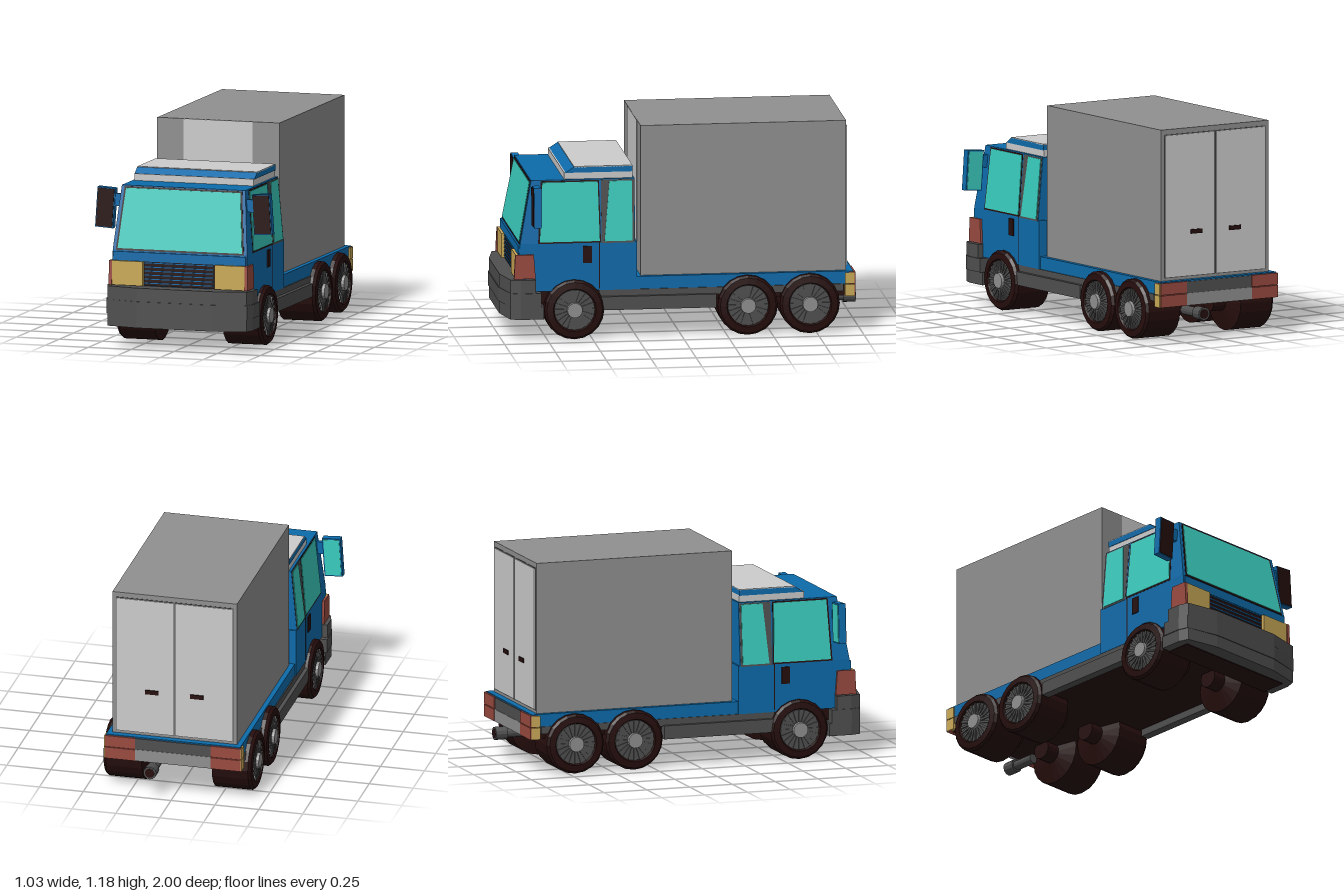
import * as THREE from 'three';

const mat = (name, color) => {
  const m = new THREE.MeshStandardMaterial({ color });
  m.name = name;
  return m;
};

export function createModel() {
  const blue = mat('blue paint', 0x0d6bab);
  const glass = mat('teal glass', 0x3accbe);
  const black = mat('tyre black', 0x260e0d);
  const darkGrey = mat('dark grey', 0x4f4f4f);
  const midGrey = mat('mid grey', 0x909090);
  const lightGrey = mat('light grey', 0xcccccc);
  const amber = mat('amber lamp', 0xcbaa58);
  const red = mat('red lamp', 0x9a4a40);

  const truck = new THREE.Group();
  truck.name = 'boxTruck';

  const add = (name, geo, material, parent = truck) => {
    const mesh = new THREE.Mesh(geo, material);
    mesh.name = name;
    parent.add(mesh);
    return mesh;
  };
  // box given by its extents
  const box = (name, material, x0, x1, y0, y1, z0, z1, parent) => {
    const geo = new THREE.BoxGeometry(Math.abs(x1 - x0), y1 - y0, z1 - z0);
    geo.translate((x0 + x1) / 2, (y0 + y1) / 2, (z0 + z1) / 2);
    return add(name, geo, material, parent);
  };
  // side profile [z, y] stretched between x = lo(y) and x = hi(y)
  const prism = (name, material, points, lo, hi) => {
    const shape = new THREE.Shape(points.map(([z, y]) => new THREE.Vector2(z, y)));
    const geo = new THREE.ExtrudeGeometry(shape, { depth: 1, bevelEnabled: false });
    const p = geo.attributes.position;
    for (let i = 0; i < p.count; i++) {
      const z = p.getX(i), y = p.getY(i), t = p.getZ(i);
      p.setXYZ(i, hi(y) + (lo(y) - hi(y)) * t, y, z);
    }
    geo.computeVertexNormals();
    return add(name, geo, material);
  };
  const flat = (geo) => {
    const g = geo.toNonIndexed();
    g.computeVertexNormals();
    return g;
  };

  // cab half width and windscreen slope by height
  const cabW = (y) => (y <= 0.54 ? 0.39 : 0.39 - (y - 0.54) * 0.09);
  const frontZ = (y) => 0.9 - (y - 0.54) * 0.186;
  const symmetric = (name, material, points, w) => prism(name, material, points, (y) => -w(y), w);
  // thin plate lying on the cab side
  const sidePlate = (name, material, points, s, t) =>
    s > 0
      ? prism(name, material, points, (y) => cabW(y) - 0.004, (y) => cabW(y) + t)
      : prism(name, material, points, (y) => -cabW(y) - t, (y) => -cabW(y) + 0.004);

  // cab
  symmetric('cabLower', blue, [[0.25, 0.27], [0.82, 0.27], [0.9, 0.34], [0.905, 0.48], [0.9, 0.54], [0.25, 0.54]], cabW);
  symmetric('cabUpper', blue, [[0.26, 0.54], [0.9, 0.54], [0.835, 0.89], [0.26, 0.89]], cabW);
  const screen = (name, material, y0, y1, w, t) =>
    symmetric(name, material,
      [[frontZ(y0) - 0.004, y0], [frontZ(y0) + t, y0], [frontZ(y1) + t, y1], [frontZ(y1) - 0.004, y1]],
      (y) => w - (y - 0.54) * 0.09);
  screen('windscreenSeal', black, 0.537, 0.885, 0.372, 0.002);
  screen('windscreen', glass, 0.547, 0.876, 0.362, 0.005);
  box('cowl', blue, -0.385, 0.385, 0.48, 0.53, 0.88, 0.911);

  for (const s of [1, -1]) {
    sidePlate('doorWindowSeal', black, [[0.8, 0.538], [0.782, 0.885], [0.458, 0.885], [0.45, 0.538]], s, 0.001);
    sidePlate('doorWindow', glass, [[0.79, 0.547], [0.773, 0.877], [0.465, 0.877], [0.457, 0.547]], s, 0.004);
    sidePlate('pillarPanel', darkGrey, [[0.447, 0.535], [0.447, 0.885], [0.264, 0.885], [0.264, 0.535]], s, 0.002);
    sidePlate('rearSideWindow', glass, [[0.43, 0.545], [0.4, 0.878], [0.275, 0.878], [0.275, 0.545]], s, 0.005);
    sidePlate('doorSeam', black, [[0.462, 0.28], [0.462, 0.54], [0.457, 0.54], [0.457, 0.28]], s, 0.001);
    sidePlate('doorHandle', black, [[0.55, 0.425], [0.55, 0.52], [0.502, 0.52], [0.502, 0.425]], s, 0.006);
  }

  // roof fairing
  box('fairingBase', lightGrey, -0.345, 0.345, 0.885, 0.928, 0.27, 0.65);
  symmetric('fairingBand', blue, [[0.27, 0.926], [0.645, 0.926], [0.597, 0.957], [0.27, 0.957]], () => 0.348);
  box('fairingTop', lightGrey, -0.348, 0.348, 0.955, 0.961, 0.27, 0.595);

  // grille
  box('grille', black, -0.207, 0.207, 0.345, 0.48, 0.89, 0.909);
  for (let i = 0; i < 6; i++) {
    const y = 0.358 + i * 0.0225;
    box('grilleSlat', blue, -0.2, 0.2, y, y + 0.005, 0.905, 0.914);
  }

  // front lamps and rear lamps on both sides
  for (const s of [1, -1]) {
    box('headlight', amber, s * 0.208, s * 0.396, 0.345, 0.48, 0.88, 0.926);
    const lamp = [[0.815, 0.345], [0.935, 0.345], [0.928, 0.48], [0.825, 0.48]];
    prism('frontSideLamp', red, lamp, () => (s > 0 ? 0.385 : -0.403), () => (s > 0 ? 0.403 : -0.385));
    box('tailLampUpper', red, s * 0.215, s * 0.386, 0.27, 0.335, -0.966, -0.93);
    box('tailLampLower', red, s * 0.215, s * 0.386, 0.2, 0.266, -0.966, -0.93);
    box('rearSideLampUpper', amber, s * 0.37, s * 0.391, 0.27, 0.332, -0.96, -0.908);
    box('rearSideLampLower', amber, s * 0.37, s * 0.391, 0.2, 0.266, -0.96, -0.908);
  }

  // front bumper, three stacked bands from one plan outline
  const bumperBand = (y0, y1, back, grow) => {
    const half = [[0.418 + grow, back], [0.418 + grow, 0.9], [0.4 + grow, 0.955], [0.22, 0.99 + grow]];
    const outline = [...half, ...half.map(([x, z]) => [-x, z]).reverse()];
    const shape = new THREE.Shape(outline.map(([x, z]) => new THREE.Vector2(x, -z)));
    const geo = new THREE.ExtrudeGeometry(shape, { depth: y1 - y0, bevelEnabled: false });
    geo.rotateX(-Math.PI / 2).translate(0, y0, 0);
    add('frontBumper', geo, darkGrey);
  };
  bumperBand(0.12, 0.19, 0.77, 0.004);
  bumperBand(0.19, 0.267, 0.785, 0.009);
  bumperBand(0.267, 0.342, 0.815, 0.004);
  box('bumperUnderside', black, -0.37, 0.37, 0.116, 0.13, 0.765, 0.91);

  // chassis
  box('deck', blue, -0.382, 0.382, 0.268, 0.34, -0.955, 0.26);
  box('underbody', black, -0.365, 0.365, 0.2, 0.269, -0.945, 0.8);
  for (const s of [1, -1]) {
    box('sideRail', darkGrey, s * 0.36, s * 0.388, 0.23, 0.27, -0.9, 0.46);
    box('sideSkirt', darkGrey, s * 0.36, s * 0.41, 0.16, 0.235, -0.19, 0.45);
  }
  box('rearPanelUpper', darkGrey, -0.215, 0.215, 0.268, 0.333, -0.962, -0.94);
  box('rearPanelLower', midGrey, -0.215, 0.215, 0.2, 0.268, -0.964, -0.94);

  // exhaust
  const pipe = (name, r, z0, z1, material) => {
    const geo = new THREE.CylinderGeometry(r, r, z1 - z0, 12);
    geo.rotateX(Math.PI / 2).translate(0.122, 0.15, (z0 + z1) / 2);
    add(name, flat(geo), material);
  };
  pipe('exhaustPipe', 0.027, -0.94, -0.8, darkGrey);
  pipe('exhaustTip', 0.037, -0.998, -0.93, darkGrey);
  pipe('exhaustOpening', 0.027, -1, -0.99, black);

  // cargo box
  box('cargoBox', midGrey, -0.355, 0.355, 0.34, 1.183, -0.918, 0.225);
  box('cargoFrontPanel', lightGrey, -0.2, 0.2, 0.345, 1.182, 0.22, 0.227);
  for (const s of [1, -1]) {
    box('rearDoorSeal', darkGrey, s * 0.002, s * 0.335, 0.355, 1.155, -0.92, -0.91);
    box('rearDoor', lightGrey, s * 0.006, s * 0.33, 0.36, 1.15, -0.925, -0.91);
    box('rearDoorHandle', black, s * 0.09, s * 0.165, 0.592, 0.616, -0.932, -0.92);
  }

  // wing mirrors
  for (const s of [1, -1]) {
    box('mirrorArm', blue, s * 0.355, s * 0.42, 0.77, 0.84, 0.805, 0.83);
    const mirror = new THREE.Group();
    mirror.name = 'wingMirror';
    mirror.position.set(s * 0.455, 0.76, 0.818);
    mirror.rotation.z = s * 0.065;
    truck.add(mirror);
    box('mirrorShell', blue, -0.052, 0.052, -0.112, 0.112, -0.022, 0.018, mirror);
    box('mirrorFront', black, -0.047, 0.047, -0.107, 0.107, 0.016, 0.022, mirror);
    box('mirrorGlass', glass, -0.045, 0.045, -0.105, 0.105, -0.025, -0.02, mirror);
  }

  // wheels with tapered inner side and axle stub
  const tyreProfile = [
    [0, 0.095], [0.055, 0.095], [0.055, 0.175], [0.167, 0.2], [0.167, 0.405],
    [0.155, 0.42], [0.12, 0.424], [0.113, 0.408], [0, 0.408],
  ].map(([r, x]) => new THREE.Vector2(r, x));
  const tyreGeo = flat(new THREE.LatheGeometry(tyreProfile, 20));
  const rimGeo = flat(new THREE.CylinderGeometry(0.113, 0.113, 0.01, 20).translate(0, 0.407, 0));
  const capGeo = flat(new THREE.CylinderGeometry(0.042, 0.046, 0.03, 14).translate(0, 0.42, 0));
  const spokeGeo = new THREE.BoxGeometry(0.07, 0.01, 0.013).translate(0.077, 0.414, 0);
  for (const z of [0.6, -0.365, -0.71]) {
    for (const s of [1, -1]) {
      const wheel = new THREE.Group();
      wheel.name = 'wheel';
      wheel.position.set(0, 0.167, z);
      wheel.rotation.z = (-s * Math.PI) / 2;
      truck.add(wheel);
      add('tyre', tyreGeo, black, wheel);
      add('rim', rimGeo, darkGrey, wheel);
      add('hubCap', capGeo, midGrey, wheel);
      for (let i = 0; i < 20; i++) {
        add('spoke', spokeGeo, darkGrey, wheel).rotation.y = (i * Math.PI) / 10;
      }
    }
  }

  return truck;
}
